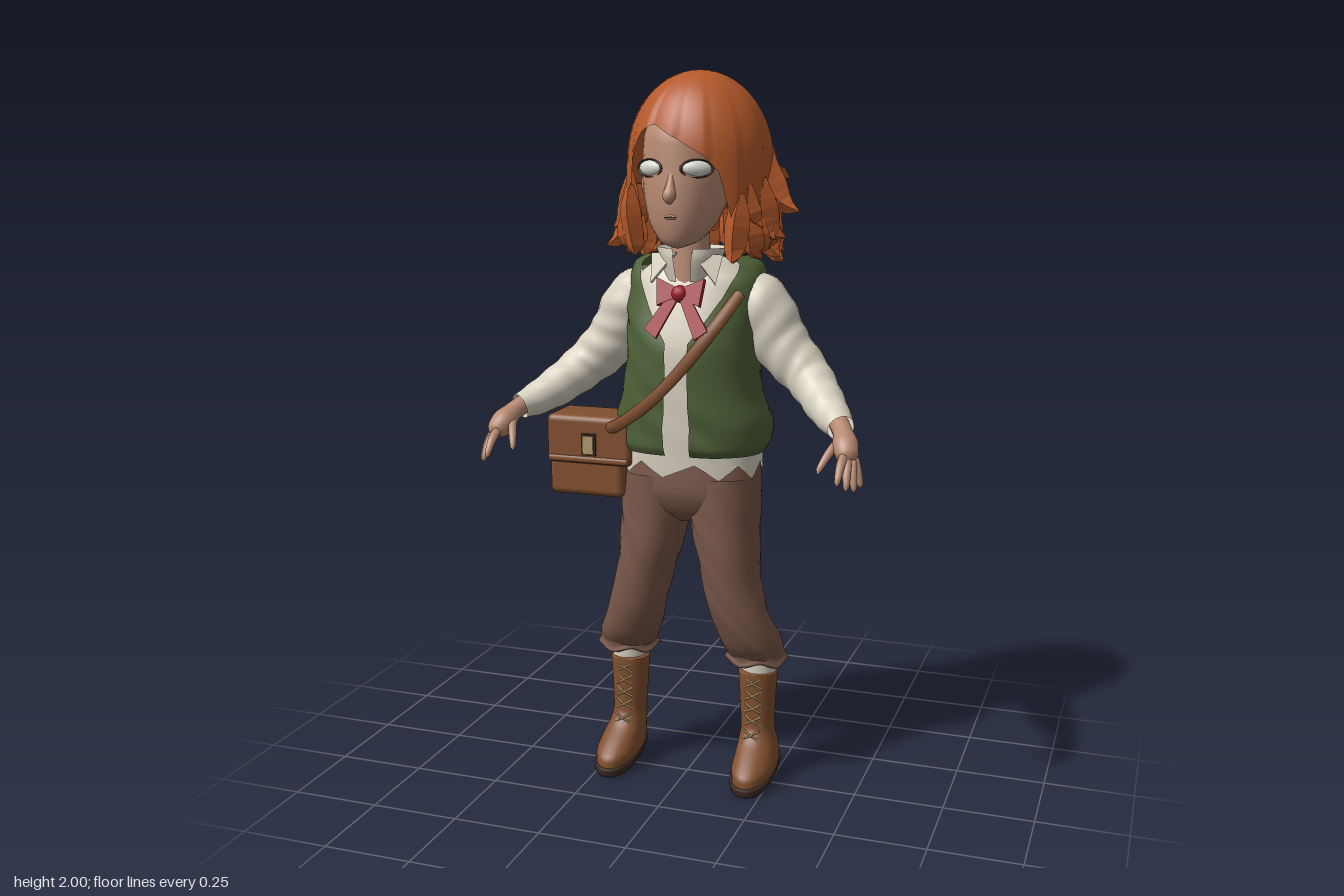
import * as THREE from 'three';
import { mergeVertices } from 'three/addons/utils/BufferGeometryUtils.js';
import { RoundedBoxGeometry } from 'three/addons/geometries/RoundedBoxGeometry.js';

const V = (x, y, z) => new THREE.Vector3(x, y, z);
const mat = (name, color, side = THREE.DoubleSide) => {
  const m = new THREE.MeshStandardMaterial({ color, side });
  m.name = name;
  return m;
};

// Horizontal cross-sections, listed upwards as [y, centreX, halfWidth, frontZ, backZ]
function loft(rings, { seg = 36, power = 2, gap = null, wrinkle = 0, warp = null } = {}) {
  const n = (rings.length - 1) * 4;
  const place = new THREE.CatmullRomCurve3(rings.map((r) => V(r[1], r[0], 0)));
  const size = new THREE.CatmullRomCurve3(rings.map((r) => V(r[2], r[3], r[4])));
  const pos = [], idx = [];
  const cols = gap ? seg + 1 : seg;
  const bend = (k) => Math.sign(k) * Math.abs(k) ** (2 / power);
  for (let i = 0; i <= n; i++) {
    const c = place.getPoint(i / n), d = size.getPoint(i / n);
    const g = gap ? gap(c.y) : 0;
    for (let j = 0; j < cols; j++) {
      const a = g + (j / seg) * (Math.PI * 2 - 2 * g);
      const k = 1 + wrinkle * Math.sin(4 * a + c.y * 45 + 2 * Math.sin(a * 3 + c.y * 12));
      const rx = Math.max(d.x, 0.0005) * k, rz = ((d.y - d.z) / 2) * k;
      const v = V(c.x + rx * bend(Math.sin(a)), c.y, (d.y + d.z) / 2 + rz * bend(Math.cos(a)));
      if (warp) warp(v, a, i / n);
      pos.push(v.x, v.y, v.z);
    }
  }
  for (let i = 0; i < n; i++) for (let j = 0; j < seg; j++) {
    const a = i * cols + j, b = i * cols + ((j + 1) % cols);
    idx.push(a, b, a + cols, b, b + cols, a + cols);
  }
  const geo = new THREE.BufferGeometry();
  geo.setAttribute('position', new THREE.Float32BufferAttribute(pos, 3));
  geo.setIndex(idx);
  geo.computeVertexNormals();
  return geo;
}

// Tube along points given as [x, y, z, radius], optionally squashed in z or faceted
function sweep(points, { seg = 12, n = 20, squash = 1, flat = false, wrinkle = 0 } = {}) {
  const curve = new THREE.CatmullRomCurve3(points.map((p) => V(p[0], p[1], p[2])));
  const radius = new THREE.CatmullRomCurve3(points.map((p, i) => V(i, p[3], 0)));
  let geo = new THREE.TubeGeometry(curve, n, 1, seg);
  const pos = geo.attributes.position, v = V(0, 0, 0);
  for (let i = 0; i <= n; i++) {
    const c = curve.getPointAt(i / n);
    const r = Math.max(radius.getPoint(curve.getUtoTmapping(i / n)).y, 0.0005);
    for (let j = 0; j <= seg; j++) {
      const k = i * (seg + 1) + j;
      const fold = 1 + wrinkle * Math.sin(i * 1.3 + 3 * Math.sin((j / seg) * Math.PI * 2));
      v.fromBufferAttribute(pos, k).sub(c).multiplyScalar(r * fold);
      pos.setXYZ(k, c.x + v.x, c.y + v.y, c.z + v.z * squash);
    }
  }
  geo.deleteAttribute('uv');
  geo.deleteAttribute('normal');
  geo = flat ? geo.toNonIndexed() : mergeVertices(geo, 1e-6);
  geo.computeVertexNormals();
  return geo;
}

// Flat outline given a little thickness
function plate(pts, depth) {
  const shape = new THREE.Shape(pts.map((p) => new THREE.Vector2(p[0], p[1])));
  return new THREE.ExtrudeGeometry(shape, { depth, bevelEnabled: false });
}

// Hair surface: radius by height, hem height by direction in degrees
const HEM = [[-180, 1.56], [-90, 1.56], [-66, 1.57], [-52, 1.7], [-45, 1.79], [-36, 1.84], [-24, 1.86],
  [0, 1.82], [20, 1.78], [33, 1.735], [40, 1.64], [50, 1.56], [90, 1.56], [180, 1.56]];
function hem(deg) {
  const i = Math.max(1, HEM.findIndex((h) => h[0] >= deg));
  const [d0, y0] = HEM[i - 1], [d1, y1] = HEM[i];
  return y0 + ((y1 - y0) * (deg - d0)) / (d1 - d0);
}
function hairPoint(a, y, k = 1) {
  const dome = y > 1.76 ? Math.sqrt(Math.max(0, 1 - ((y - 1.76) / 0.24) ** 2)) : 1;
  const r = dome * k;
  return V(0.02 + 0.2 * r * Math.sin(a), y, -0.045 + 0.193 * r * Math.cos(a));
}
function hairShell() {
  const seg = 112, n = 18, pos = [], idx = [];
  for (let i = 0; i <= n; i++) for (let j = 0; j <= seg; j++) {
    const a = (j / seg) * Math.PI * 2 - Math.PI, clump = (j % 8) / 8, v = i / n;
    const h = hem((a * 180) / Math.PI);
    const jag = h < 1.62 ? 0.03 * clump : 0;
    const y = 2 - (2 - h + jag) * (1 - Math.cos((v * Math.PI) / 2));
    const p = hairPoint(a, y, 1 + 0.035 * (clump - 0.5) * v);
    pos.push(p.x, p.y, p.z);
  }
  for (let i = 0; i < n; i++) for (let j = 0; j < seg; j++) {
    const a = i * (seg + 1) + j, c = a + seg + 1;
    idx.push(a, c, a + 1, a + 1, c, c + 1);
  }
  const geo = new THREE.BufferGeometry();
  geo.setAttribute('position', new THREE.Float32BufferAttribute(pos, 3));
  geo.setIndex(idx);
  geo.computeVertexNormals();
  return geo;
}

export function createModel() {
  const root = new THREE.Group();
  root.name = 'child';
  const hair = mat('copper hair', 0xb4592a), skin = mat('skin', 0xb88a72), vest = mat('green vest', 0x4d5f36);
  const shirt = mat('cream shirt', 0xd8d1c1), pants = mat('brown trousers', 0x775547), leather = mat('leather', 0x82502f);
  const dark = mat('dark sole', 0x3d2b23), red = mat('red ribbon', 0xa31f2b), white = mat('eye white', 0xd6d6d0);
  const brass = mat('brass', 0xb39a6c);
  const add = (name, geo, m, parent = root) => {
    const mesh = new THREE.Mesh(geo, m);
    mesh.name = name;
    parent.add(mesh);
    return mesh;
  };
  let state = 7;
  const rand = () => (state = (state * 16807) % 2147483647) / 2147483647;

  // Head and face
  add('head', loft([[1.535, 0, 0.01, 0.09, 0.07], [1.55, 0, 0.048, 0.122, 0], [1.6, 0, 0.088, 0.136, -0.08],
    [1.66, 0, 0.108, 0.14, -0.13], [1.74, 0, 0.12, 0.134, -0.16], [1.83, 0, 0.115, 0.125, -0.15],
    [1.9, 0, 0.08, 0.08, -0.1], [1.92, 0, 0.005, 0, -0.01]], { power: 2.15 }), skin);
  add('neck', new THREE.CylinderGeometry(0.05, 0.058, 0.2, 20).translate(0, 1.5, -0.03), skin);
  add('nose', sweep([[0, 1.74, 0.125, 0.006], [0, 1.7, 0.136, 0.012], [0, 1.672, 0.146, 0.018], [0, 1.655, 0.138, 0.004]]), skin);
  add('lips', sweep([[-0.036, 1.616, 0.122, 0.001], [0, 1.62, 0.136, 0.007], [0.036, 1.616, 0.122, 0.001]]), skin);
  add('mouthLine', sweep([[-0.034, 1.617, 0.125, 0.001], [0, 1.62, 0.142, 0.002], [0.034, 1.617, 0.125, 0.001]], { seg: 6 }), dark);
  for (const s of [1, -1]) {
    const eye = new THREE.Group();
    eye.name = 'eye';
    eye.position.set(s * 0.063, 1.745, 0.109);
    eye.rotation.y = s * 0.42;
    root.add(eye);
    add('eyeball', new THREE.SphereGeometry(1, 20, 14).scale(0.04, 0.021, 0.018), white, eye);
    add('lidLine', new THREE.TorusGeometry(1, 0.09, 8, 28).scale(0.042, 0.023, 0.03).translate(0, 0, 0.006), dark, eye);
    add('ear', new THREE.SphereGeometry(1, 12, 10).scale(0.015, 0.035, 0.025).translate(s * 0.12, 1.7, -0.01), skin);
  }

  // Hair: swept cap with flicked locks around the hem
  add('hairCap', hairShell(), hair);
  const lock = (a, y, width, out, tipY, twist) => {
    const p = [hairPoint(a, y, 0.97), hairPoint(a + twist * 0.4, y - 0.07, 0.98),
      hairPoint(a + twist, tipY + 0.02, 0.9 + (out - 0.9) * 0.5), hairPoint(a + twist * 1.6, tipY, out)];
    const w = [0.3, 1, 0.75, 0];
    add('hairLock', sweep(p.map((q, i) => [q.x, q.y, q.z, width * w[i]]), { seg: 4, n: 7, flat: true }), hair);
  };
  for (let i = 0; i < 30; i++) {
    const a = THREE.MathUtils.degToRad(52 + (i / 29) * 242);
    lock(a, 1.68 - rand() * 0.06, 0.034, 0.85 + rand() * 0.35, 1.49 + rand() * 0.05, (rand() - 0.5) * 0.5);
    if (i % 2) lock(a, 1.74 - rand() * 0.05, 0.03, 1.02 + rand() * 0.2, 1.55 + rand() * 0.06, (rand() - 0.5) * 0.5);
  }
  lock(1.7, 1.78, 0.04, 1.42, 1.63, -0.1);
  lock(2.0, 1.8, 0.035, 1.3, 1.71, 0.1);
  lock(1.35, 1.72, 0.036, 1.25, 1.56, 0.1);
  lock(-1.5, 1.68, 0.036, 1.3, 1.53, 0.1);
  lock(-1.0, 1.7, 0.03, 0.95, 1.51, 0.1);

  // Shirt body, collar and open vest
  add('shirtBody', loft([[0.92, 0, 0.2, 0.078, -0.178], [1.0, 0, 0.198, 0.082, -0.19], [1.12, 0, 0.18, 0.085, -0.185],
    [1.25, 0, 0.17, 0.082, -0.2], [1.36, 0, 0.178, 0.055, -0.215], [1.44, 0, 0.17, 0.025, -0.19],
    [1.49, 0, 0.11, 0, -0.14], [1.51, 0, 0.06, 0, -0.09]],
  { power: 2.4, wrinkle: 0.008, warp: (v, a, t) => { if (t < 0.03) v.y += 0.02 * Math.sin(a * 9); } }), shirt);
  add('collar', loft([[1.44, 0, 0.066, 0.04, -0.1], [1.5, 0, 0.085, 0.05, -0.11], [1.53, 0, 0.1, 0.045, -0.12]],
    { gap: () => 0.3 }), shirt);
  for (const s of [1, -1]) {
    const flap = add('collarPoint', plate([[0, 0.045], [s * 0.085, 0.05], [s * 0.075, -0.035]], 0.008), shirt);
    flap.position.set(s * 0.02, 1.475, 0.042);
    flap.rotation.set(-0.4, s * 0.35, 0);
  }
  const opening = (y) => (y < 1.28 ? 0.12 : 0.12 + (y - 1.28) * 3.4);
  add('vest', loft([[0.965, 0, 0.208, 0.088, -0.2], [0.99, 0, 0.22, 0.1, -0.215], [1.05, 0, 0.222, 0.1, -0.22],
    [1.12, 0, 0.196, 0.102, -0.2], [1.25, 0, 0.185, 0.1, -0.218], [1.36, 0, 0.195, 0.07, -0.235],
    [1.44, 0, 0.195, 0.035, -0.22], [1.485, 0, 0.18, -0.005, -0.195], [1.505, 0, 0.14, -0.02, -0.16]],
  { seg: 56, power: 2.4, gap: opening, wrinkle: 0.014 }), vest);

  // Ribbon bow
  const bow = new THREE.Group();
  bow.name = 'bow';
  bow.position.set(0, 1.41, 0.062);
  bow.rotation.x = -0.3;
  root.add(bow);
  add('bowKnot', new THREE.SphereGeometry(0.024, 14, 10), red, bow);
  for (const s of [1, -1]) {
    add('bowLoop', plate([[0, -0.008], [s * 0.06, -0.035], [s * 0.068, 0.042], [0, 0.012]], 0.02).translate(0, 0, -0.008), red, bow);
    add('bowTail', plate([[-s * 0.005, 0], [s * 0.025, 0], [s * 0.09, -0.1], [s * 0.055, -0.125]], 0.01), red, bow);
  }

  // Sleeves and hands
  for (const s of [1, -1]) {
    const limb = (name, pts, m, opt) => add(name, sweep(pts.map(([x, y, z, r]) => [x * s, y, z, r]), opt), m);
    limb('sleeve', [[0.12, 1.43, -0.08, 0.055], [0.18, 1.375, -0.083, 0.084], [0.25, 1.26, -0.083, 0.078],
      [0.33, 1.18, -0.06, 0.066], [0.41, 1.11, 0.03, 0.053], [0.462, 1.08, 0.105, 0.037]],
    shirt, { seg: 20, n: 36, wrinkle: 0.03 });
    limb('palm', [[0.45, 1.09, 0.085, 0.027], [0.472, 1.07, 0.125, 0.027], [0.487, 1.045, 0.16, 0.035],
      [0.5, 1.02, 0.187, 0.026], [0.503, 1.01, 0.195, 0.005]], skin);
    for (const [x, y, z, tx, ty, tz] of [[0.508, 1.03, 0.165, 0.535, 0.95, 0.188], [0.508, 1.02, 0.178, 0.525, 0.945, 0.22],
      [0.5, 1.02, 0.188, 0.51, 0.952, 0.245], [0.49, 1.03, 0.19, 0.49, 0.968, 0.263], [0.47, 1.06, 0.135, 0.43, 0.985, 0.225]]) {
      limb('finger', [[x, y, z, 0.012], [(x + tx) / 2, (y + ty) / 2 + 0.008, (z + tz) / 2 + 0.004, 0.012],
        [tx, ty, tz, 0.007], [tx, ty - 0.004, tz + 0.002, 0.001]], skin, { seg: 8, n: 10 });
    }
  }

  // Trousers
  add('trouserSeat', loft([[0.765, 0, 0.06, 0.02, -0.1], [0.8, 0, 0.17, 0.06, -0.14], [0.86, 0, 0.2, 0.078, -0.165],
    [0.95, 0, 0.192, 0.07, -0.168]], { power: 2.4 }), pants);
  for (const s of [1, -1]) {
    add('trouserLeg', loft([[0.37, s * 0.195, 0.08, 0.025, -0.125], [0.42, s * 0.182, 0.088, 0.06, -0.118],
      [0.5, s * 0.155, 0.082, 0.08, -0.09], [0.6, s * 0.13, 0.082, 0.086, -0.1], [0.74, s * 0.107, 0.095, 0.08, -0.14],
      [0.82, s * 0.1, 0.1, 0.078, -0.155], [0.9, s * 0.098, 0.09, 0.07, -0.15]],
    { wrinkle: 0.022, power: 2.1 }), pants);
    add('trouserCuff', loft([[0.352, s * 0.195, 0.072, 0.015, -0.12], [0.36, s * 0.195, 0.094, 0.032, -0.14],
      [0.375, s * 0.195, 0.086, 0.03, -0.132], [0.395, s * 0.193, 0.082, 0.035, -0.125]],
    { wrinkle: 0.05, warp: (v, a) => { v.y += 0.007 * Math.sin(a * 5); } }), pants);
    // Sock and boot
    add('sock', new THREE.CylinderGeometry(0.05, 0.05, 0.1, 20).translate(s * 0.2, 0.35, -0.055), shirt);
    const tilt = (v) => { v.y += (0.13 - v.z) * 0.15 * Math.max(0, 1 - v.y / 0.16); };
    add('boot', loft([[0.02, s * 0.207, 0.058, 0.125, -0.125], [0.05, s * 0.207, 0.06, 0.122, -0.127], [0.08, s * 0.205, 0.056, 0.085, -0.125],
      [0.12, s * 0.2, 0.05, 0.025, -0.115], [0.16, s * 0.198, 0.047, 0.002, -0.108], [0.24, s * 0.197, 0.051, 0, -0.11],
      [0.32, s * 0.197, 0.056, 0.003, -0.114], [0.325, s * 0.197, 0.045, -0.01, -0.1]], { power: 2.2, warp: tilt }), leather);
    add('sole', loft([[0, s * 0.207, 0.002, 0, -0.01], [0.001, s * 0.207, 0.056, 0.125, -0.122], [0.026, s * 0.207, 0.062, 0.131, -0.13],
      [0.03, s * 0.207, 0.05, 0.11, -0.115]], { power: 2.4, warp: tilt }), dark);
    for (let i = 0; i < 5; i++) for (const d of [1, -1]) {
      const y = 0.13 + i * 0.038, z = i ? 0.003 : 0.02;
      add('lace', sweep([[s * 0.197 - d * 0.024, y, z - 0.008, 0.003], [s * 0.197, y + 0.014, z, 0.003],
        [s * 0.197 + d * 0.024, y + 0.028, z - 0.008, 0.003]], { seg: 5, n: 4 }), brass);
    }
  }

  // Shoulder bag and strap
  add('bagBody', new RoundedBoxGeometry(0.225, 0.21, 0.135, 3, 0.02).translate(-0.288, 0.925, -0.015), leather);
  add('bagFlap', new RoundedBoxGeometry(0.255, 0.14, 0.155, 3, 0.018).translate(-0.275, 0.985, -0.012), leather);
  add('bagRim', new RoundedBoxGeometry(0.245, 0.02, 0.16, 2, 0.008).translate(-0.275, 0.93, -0.01), leather);
  add('claspPlate', new THREE.BoxGeometry(0.042, 0.062, 0.009).translate(-0.27, 0.975, 0.069), dark);
  add('clasp', new THREE.BoxGeometry(0.032, 0.052, 0.009).translate(-0.27, 0.975, 0.074), brass);
  add('strap', sweep([[-0.22, 1.02, 0.05, 0.018], [-0.17, 1.045, 0.085, 0.018], [-0.08, 1.11, 0.106, 0.018], [0, 1.19, 0.108, 0.018],
    [0.08, 1.29, 0.095, 0.019], [0.13, 1.365, 0.055, 0.019], [0.155, 1.41, 0.02, 0.017]],
  { seg: 8, n: 28, squash: 0.5 }), leather);
  return root;
}
